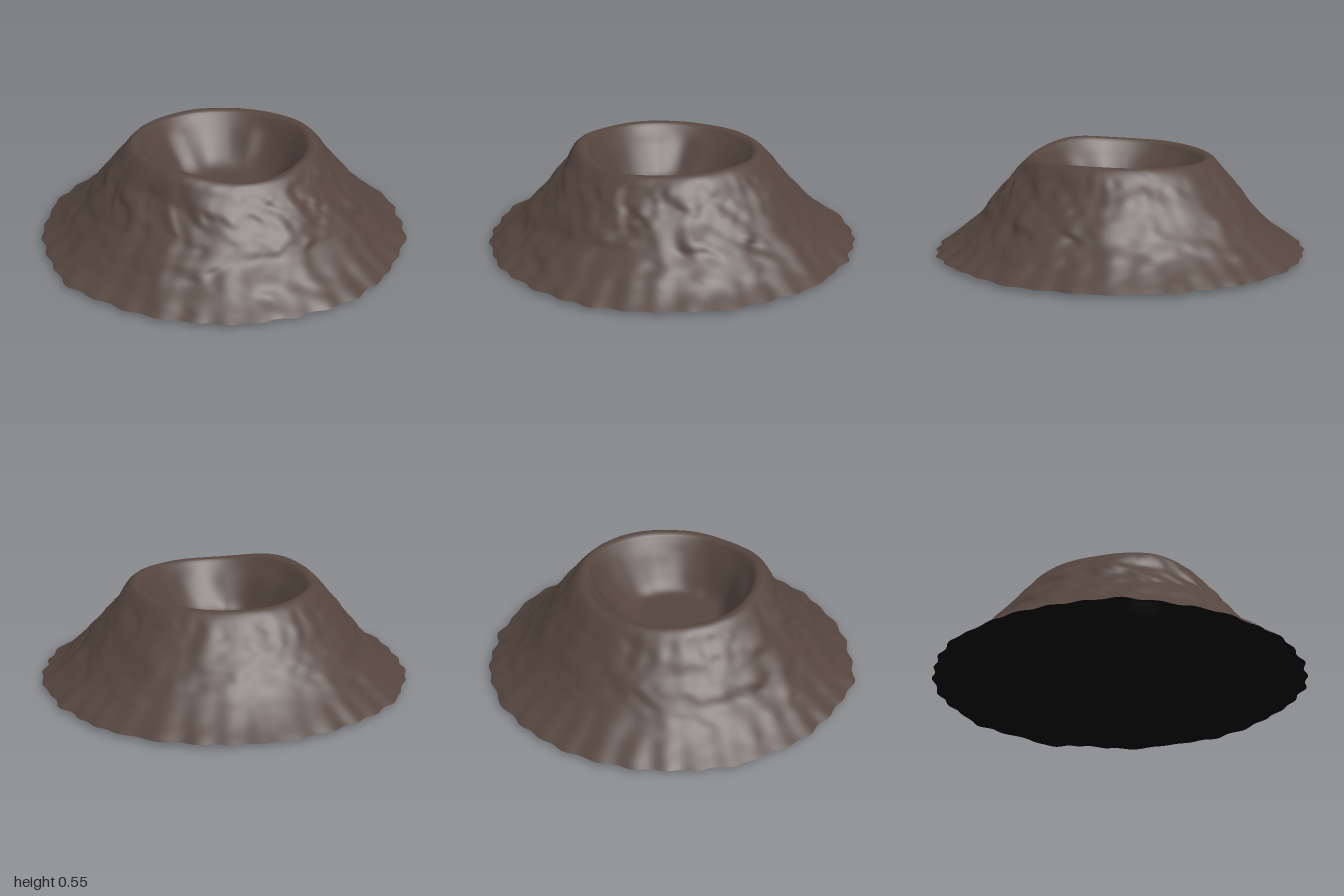
import * as THREE from 'three';
import { mergeVertices } from 'three/addons/utils/BufferGeometryUtils.js';

// Smooth seeded noise in -1..1, periodic over n cells around the cone
const hash = (i, j) => { const s = Math.sin(i * 127.1 + j * 311.7 + 17.3) * 43758.5453; return (s - Math.floor(s)) * 2 - 1; };
function noise(a, v, n) {
  const u = ((a / (2 * Math.PI) + 2) % 1) * n;
  const i = Math.floor(u), j = Math.floor(v);
  const fu = THREE.MathUtils.smoothstep(u - i, 0, 1), fv = THREE.MathUtils.smoothstep(v - j, 0, 1);
  const top = THREE.MathUtils.lerp(hash(i % n, j), hash((i + 1) % n, j), fu);
  const low = THREE.MathUtils.lerp(hash(i % n, j + 1), hash((i + 1) % n, j + 1), fu);
  return THREE.MathUtils.lerp(top, low, fv);
}

// Profile from the outer foot, over the lip, down to the crater floor
const slope = [[0.98, 0.02], [0.86, 0.105], [0.76, 0.195], [0.66, 0.315], [0.57, 0.425], [0.51, 0.5], [0.48, 0.52]];
const bowl = [[0.45, 0.515], [0.43, 0.49], [0.39, 0.43], [0.33, 0.345], [0.27, 0.275], [0.225, 0.25], [0.12, 0.245], [0, 0.245]];
const curve = new THREE.CatmullRomCurve3([...slope, ...bowl].map(([r, y]) => new THREE.Vector3(r, y, 0)), false, 'centripetal');
const profile = curve.getSpacedPoints(100).map(p => new THREE.Vector2(Math.max(p.x, 0), p.y));

// Weather the turned shape; underside sinks it just below the ground surface
function rockSurface(underside) {
  const points = underside ? profile.slice().reverse() : profile;
  const lathe = new THREE.LatheGeometry(points, 260);
  const pos = lathe.attributes.position;
  for (let k = 0; k < pos.count; k++) {
    const p = points[k % points.length];
    const a = Math.atan2(pos.getX(k), pos.getZ(k));
    let r = p.x, y = p.y;
    const outer = THREE.MathUtils.smoothstep(r, 0.46, 0.6);
    const rim = THREE.MathUtils.smoothstep(y, 0.3, 0.51);

    // gullies, lumps and the scalloped foot
    const rough = 0.8 + 0.3 * Math.cos(a - 0.9);
    const drift = a + 0.08 * noise(a, y * 7, 11);
    r += outer * rough * (0.013 * noise(drift, y * 5, 48) + 0.012 * noise(drift, y * 15 + 5, 30));
    r += outer * rough * 0.007 * noise(drift, y * 24 + 20, 70);
    r += 0.008 * outer * noise(a, y * 3 + 9, 9);
    const foot = THREE.MathUtils.smoothstep(p.x, 0.72, 0.98);
    r += 0.007 * foot * Math.sin(36 * a + 2.2 * noise(a, 3.5, 17));

    // uneven lip: high in front, slightly low on two diagonals
    const front = Math.exp(-Math.pow((a - 0.08) / 0.48, 2));
    y += rim * (0.034 * front - 0.011 * Math.sin(2 * a) + 0.005 * noise(a, 2.5, 14));
    r += rim * (1 - outer) * 0.012 * noise(a, 7.5, 12);

    // worn crater wall
    const wall = THREE.MathUtils.smoothstep(p.x, 0.08, 0.24) * (1 - THREE.MathUtils.smoothstep(p.x, 0.38, 0.44));
    r += wall * 0.018 * noise(a, y * 5, 19);

    if (p.x > 0.979) y = 0.02;
    if (underside) {
      // ragged lower edge dips at the back only
      const dip = Math.max(0, -Math.cos(a)) * Math.max(0, Math.sin(12 * a + 0.6));
      y = Math.max(y - (p.x > 0.96 ? 0.003 + 0.017 * dip : 0.012), 0);
    }
    const shift = 1 - THREE.MathUtils.smoothstep(p.x, 0, 0.43);
    pos.setXYZ(k, r * Math.sin(a) + 0.05 * shift, y, r * Math.cos(a) + 0.07 * shift);
  }
  lathe.deleteAttribute('uv');
  lathe.deleteAttribute('normal');
  const geometry = mergeVertices(lathe, 1e-5);
  geometry.computeVertexNormals();
  return geometry;
}

export function createModel() {
  const group = new THREE.Group();
  group.name = 'volcano';
  const rock = new THREE.MeshStandardMaterial({ color: 0x54453e });
  rock.name = 'brown rock';
  const dark = new THREE.MeshStandardMaterial({ color: 0x050505 });
  dark.name = 'black underside';

  // Outer slopes and crater
  const cone = new THREE.Mesh(rockSurface(false), rock);
  cone.name = 'craterCone';
  // Hollow inside, seen from below
  const hollow = new THREE.Mesh(rockSurface(true), dark);
  hollow.name = 'hollowUnderside';
  group.add(cone, hollow);
  return group;
}
